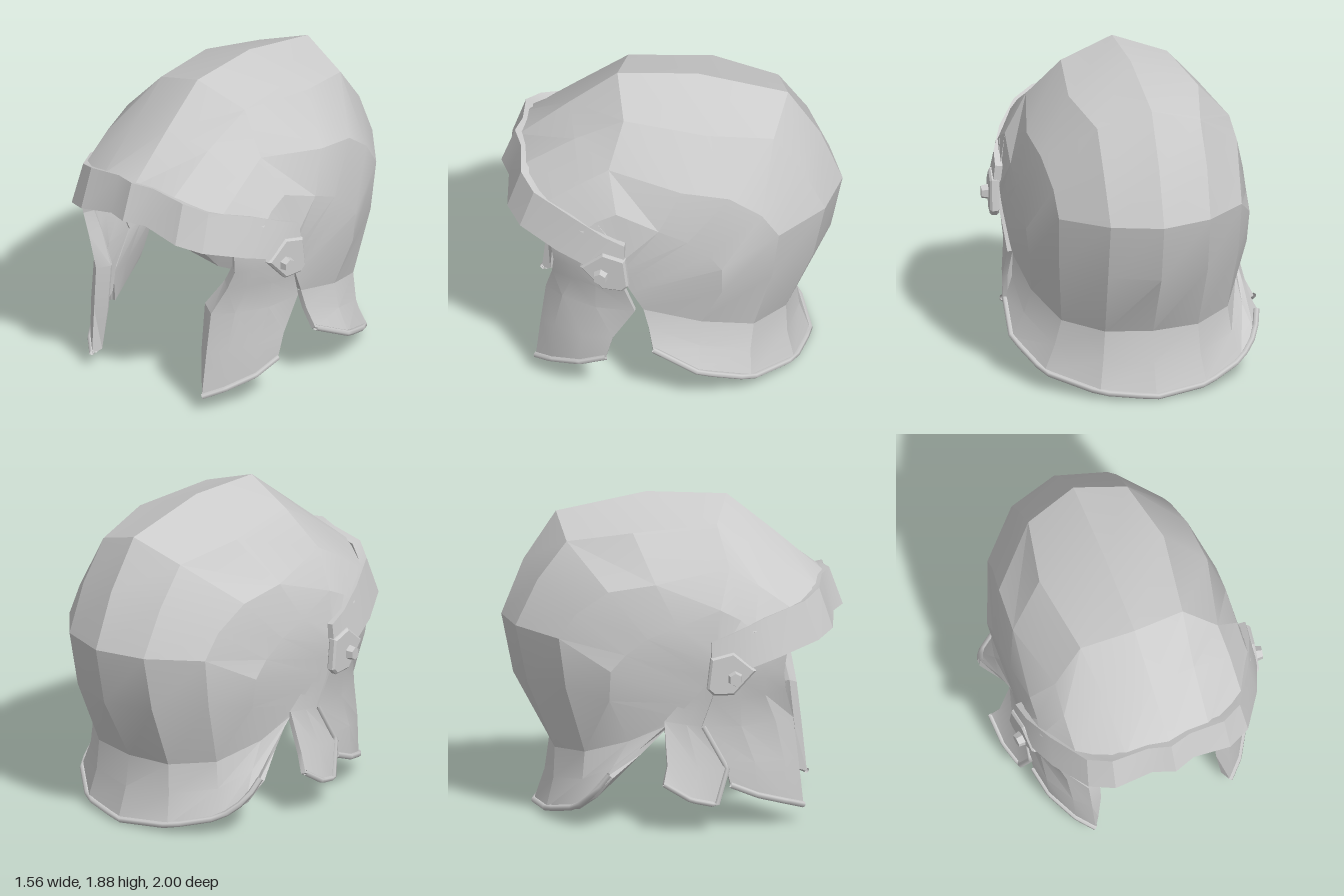
import * as THREE from 'three';
import { toCreasedNormals } from 'three/addons/utils/BufferGeometryUtils.js';

const material = new THREE.MeshStandardMaterial({ color: 0xcccccc, side: THREE.DoubleSide });
const flip = ([x, y, z]) => [-x, y, z];
const mirrorRows = rows => rows.map(r => r.map(flip)).reverse();

// Thick plate from a grid of points; the inner skin is offset along the normals
function shell(name, rows, thickness) {
  const n = rows.length, m = rows[0].length, index = [];
  const quad = (list, a, b, c, d) => list.push(a, b, c, c, b, d);
  for (let i = 0; i < n - 1; i++)
    for (let j = 0; j < m - 1; j++)
      quad(index, i * m + j, i * m + j + 1, (i + 1) * m + j, (i + 1) * m + j + 1);
  const outer = new THREE.BufferGeometry();
  outer.setAttribute('position', new THREE.Float32BufferAttribute(rows.flat(2), 3));
  outer.setIndex(index);
  outer.computeVertexNormals();
  const p = outer.attributes.position, nor = outer.attributes.normal;
  const points = Array.from(p.array), count = n * m;
  for (let i = 0; i < count; i++)
    points.push(p.getX(i) - nor.getX(i) * thickness, p.getY(i) - nor.getY(i) * thickness, p.getZ(i) - nor.getZ(i) * thickness);
  const all = [...index];
  for (let i = 0; i < index.length; i += 3) all.push(index[i] + count, index[i + 2] + count, index[i + 1] + count);
  // Close the rim around the four borders
  const wall = (a, b) => quad(all, a, a + count, b, b + count);
  for (let j = 0; j < m - 1; j++) {
    wall(j + 1, j);
    wall((n - 1) * m + j, (n - 1) * m + j + 1);
  }
  for (let i = 0; i < n - 1; i++) {
    wall(i * m, (i + 1) * m);
    wall((i + 1) * m + m - 1, i * m + m - 1);
  }
  const g = new THREE.BufferGeometry();
  g.setAttribute('position', new THREE.Float32BufferAttribute(points, 3));
  g.setIndex(all);
  const mesh = new THREE.Mesh(toCreasedNormals(g, 0.33), material);
  mesh.name = name;
  return mesh;
}

// Raised rim along the edge of a plate
function rim(name, points, radius) {
  const path = new THREE.CurvePath();
  const v = points.map(q => new THREE.Vector3(...q));
  for (let i = 0; i < v.length - 1; i++) path.add(new THREE.LineCurve3(v[i], v[i + 1]));
  const mesh = new THREE.Mesh(new THREE.TubeGeometry(path, 24, radius, 6), material);
  mesh.name = name;
  return mesh;
}

// Bowl ribs from the ridge outward to the side edge, each running brow to nape
const ridge = [[0, 1.38, .9], [0, 1.63, .6], [0, 1.85, .32], [0, 1.86, -.15], [0, 1.74, -.68],
  [0, 1.45, -.87], [0, 1.12, -1], [0, .77, -.93], [0, .38, -.72]];
const ribs = [
  [[.26, 1.36, .86], [.28, 1.57, .56], [.32, 1.74, .27], [.39, 1.7, -.22], [.31, 1.63, -.61],
    [.31, 1.4, -.78], [.3, 1.12, -.91], [.3, .78, -.84], [.28, .385, -.68]],
  [[.52, 1.28, .72], [.52, 1.42, .52], [.51, 1.52, .35], [.61, 1.44, -.08], [.59, 1.39, -.36],
    [.56, 1.25, -.55], [.55, 1.1, -.65], [.54, .8, -.61], [.5, .41, -.5]],
  [[.66, 1.17, .5], [.65, 1.24, .42], [.65, 1.3, .3], [.675, 1.2, .05], [.68, 1.13, -.12],
    [.67, 1.03, -.24], [.67, .93, -.32], [.65, .75, -.32], [.61, .5, -.2]],
  [[.69, 1.1, .34], [.69, 1.09, .3], [.69, 1.06, .27], [.69, .98, .27], [.68, .9, .27],
    [.67, .82, .25], [.66, .74, .21], [.65, .66, .17], [.64, .6, .14]],
];
// The right side edge is cut back further than the left
const rightRibs = ribs.map((r, k) => r.map(([x, y, z], j) => {
  const cut = k < 2 ? 0 : [.04, .16, .46][k - 2] * Math.max(0, j - 3) / 5;
  return [-x, y, z - cut];
}));
const bowlRows = [...[...ribs].reverse(), ridge, ...rightRibs];

// Flared neck guard hanging from the bowl's lower seam
const hem = [[.7, .35, .08], [.725, .21, -.19], [.6, .09, -.49], [.32, .025, -.73], [0, 0, -.81],
  [-.32, .025, -.73], [-.57, .09, -.55], [-.68, .2, -.44], [-.71, .32, -.35]];
const neckRows = hem.map((h, i) => {
  const s = bowlRows[i][8];
  const mix = (t, pull) => s.map((a, k) => (a + (h[k] - a) * t) * (k === 1 ? 1 : pull));
  return [s, mix(.5, .975), h];
});

// Brow band, upper and lower edge
const browHalf = [
  [[0, 1.41, .92], [0, 1.19, 1]], [[.13, 1.4, .88], [.13, 1.18, .95]],
  [[.35, 1.37, .87], [.36, 1.13, .95]], [[.48, 1.32, .79], [.5, 1.09, .87]],
  [[.62, 1.25, .56], [.64, 1.02, .65]], [[.7, 1.17, .37], [.715, .96, .46]],
  [[.72, 1.12, .25], [.73, 1.03, .25]],
];
const browRows = [...browHalf.slice(1).reverse().map(r => r.map(flip)), ...browHalf];

// Cheek guard rows from the bottom up: front flange, then front to back
const cheekRows = [
  [[.385, .1, .73], [.42, .08, .78], [.51, .12, .69], [.61, .18, .52], [.65, .25, .36]],
  [[.36, .36, .71], [.43, .36, .75], [.52, .37, .67], [.62, .38, .5], [.66, .4, .32]],
  [[.36, .64, .68], [.44, .61, .72], [.54, .61, .62], [.63, .6, .42], [.66, .6, .19]],
  [[.47, .81, .63], [.53, .79, .68], [.59, .78, .56], [.65, .77, .42], [.68, .77, .25]],
  [[.53, .93, .63], [.58, .91, .67], [.63, .9, .56], [.68, .89, .42], [.7, .88, .28]],
  [[.54, 1.08, .65], [.59, 1.05, .69], [.64, 1, .56], [.69, .97, .42], [.7, .95, .29]],
];
const cheekHem = cheekRows[0].slice(1);

// Rear lobe of the right cheek guard, bottom up, front to back
const lobe = [
  [[.7, .14, .28], [.75, .18, .13], [.77, .28, -.03]],
  [[.66, .35, .34], [.7, .36, .17], [.72, .38, -.01]],
  [[.65, .6, .2], [.65, .61, .1], [.65, .63, -.03]],
  [[.67, .77, .26], [.665, .77, .18], [.66, .77, .09]],
  [[.69, .92, .3], [.68, .92, .25], [.68, .92, .2]],
];
const lobeEdge = [lobe[2][0], lobe[1][0], ...lobe[0]].map(flip);

// Hinge plate with a six-sided stud, built for the left side
function hinge() {
  const g = new THREE.Group();
  g.name = 'hinge';
  const outline = [[-.12, .03], [0, .13], [.12, .1], [.14, -.07], [.11, -.1], [0, -.1]];
  const shape = new THREE.Shape(outline.map(q => new THREE.Vector2(...q)));
  const plate = new THREE.Mesh(new THREE.ExtrudeGeometry(shape, {
    depth: .03, bevelEnabled: true, bevelSize: .012, bevelThickness: .012, bevelSegments: 1,
  }), material);
  plate.name = 'hingePlate';
  const stud = new THREE.Mesh(new THREE.CylinderGeometry(.038, .048, .05, 6).toNonIndexed(), material);
  stud.geometry.computeVertexNormals();
  stud.name = 'hingeStud';
  stud.rotation.x = Math.PI / 2;
  stud.position.set(-.01, -.01, .058);
  g.add(plate, stud);
  g.position.set(.69, .92, .37);
  g.rotation.y = Math.PI / 2 - .15;
  return g;
}

export function createModel() {
  const model = new THREE.Group();
  model.name = 'helmet';
  model.add(
    shell('bowl', bowlRows, .03),
    shell('neckGuard', neckRows, .03),
    rim('neckGuardRim', hem, .018),
    shell('browBand', browRows, .05),
    shell('leftCheekGuard', cheekRows, .03),
    shell('rightCheekGuard', mirrorRows(cheekRows), .03),
    rim('leftCheekRim', cheekHem, .018),
    rim('rightCheekRim', cheekHem.map(flip), .018),
    shell('rightCheekLobe', mirrorRows(lobe), .03),
    rim('rightCheekLobeRim', lobeEdge, .016),
  );
  const left = hinge();
  left.name = 'leftHinge';
  const right = new THREE.Group();
  right.name = 'rightHinge';
  right.add(hinge());
  right.scale.x = -1;
  model.add(left, right);
  return model;
}
